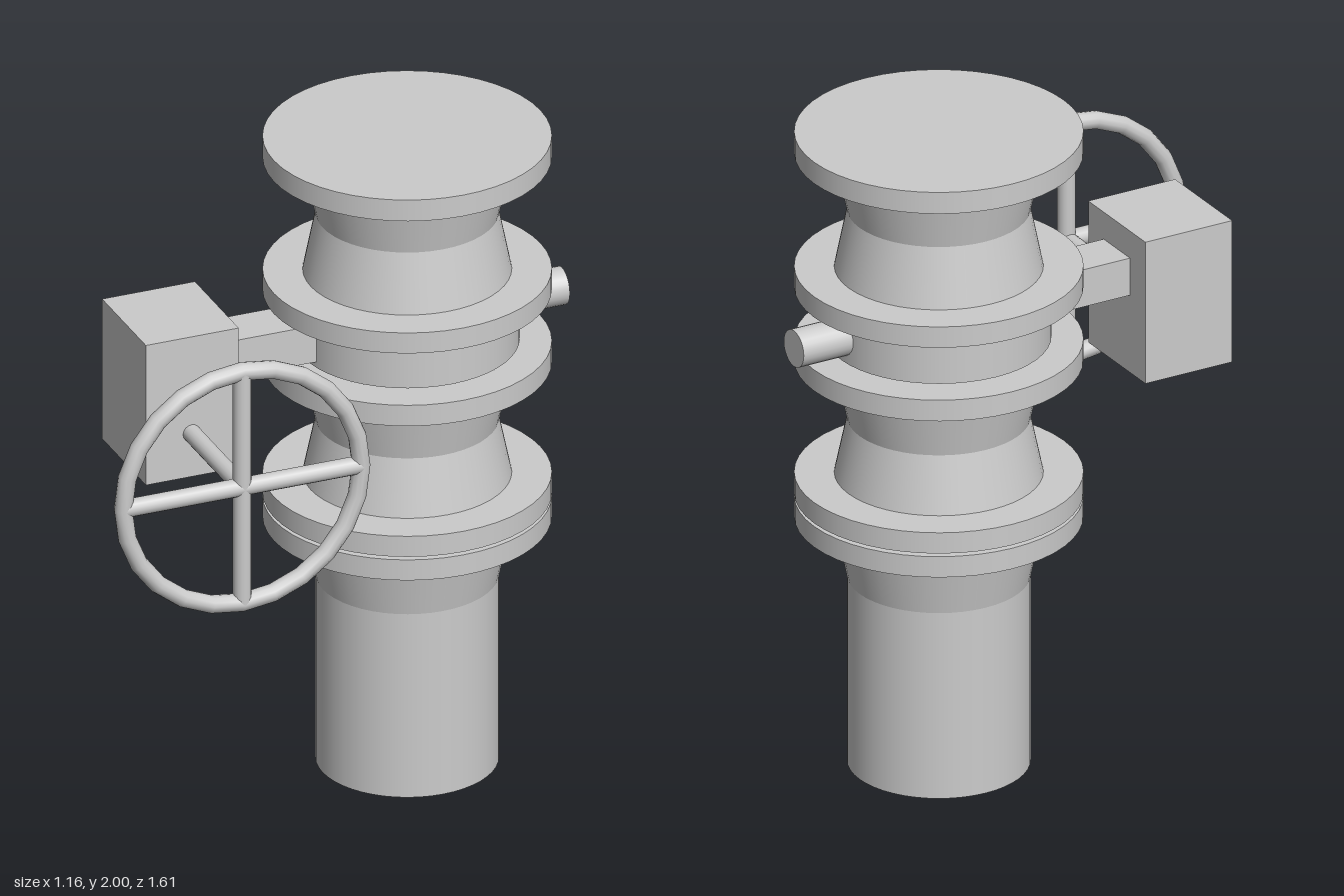
import * as THREE from 'three';

const material = new THREE.MeshStandardMaterial({ color: 0xcccccc });

function add(parent, name, geometry, x = 0, y = 0, z = 0) {
  const mesh = new THREE.Mesh(geometry, material);
  mesh.name = name;
  mesh.position.set(x, y, z);
  parent.add(mesh);
  return mesh;
}

// Upright round section between two heights
function section(parent, name, y0, y1, r0, r1 = r0) {
  add(parent, name, new THREE.CylinderGeometry(r1, r0, y1 - y0, 48), 0, (y0 + y1) / 2, 0);
}

export function createModel() {
  const model = new THREE.Group();
  model.name = 'pipeValve';

  // Pipe column: local +z points to the gearbox, local +x to the handwheel
  const valve = new THREE.Group();
  valve.name = 'valve';
  valve.position.set(0.16, 0, -0.387);
  valve.rotation.y = -Math.PI / 4;
  model.add(valve);

  const pipeR = 0.265, neckR = 0.302, flangeR = 0.417;
  section(valve, 'lowerPipe', 0, 0.59, pipeR);

  // Tapered necks, each widening towards its flange
  section(valve, 'lowerNeck', 0.59, 0.775, pipeR, neckR);
  section(valve, 'middleNeckBottom', 0.915, 1.092, neckR, pipeR);
  section(valve, 'middleNeckTop', 1.092, 1.27, pipeR, neckR);
  section(valve, 'upperNeckBottom', 1.57, 1.755, neckR, pipeR);
  section(valve, 'upperNeckTop', 1.755, 1.932, pipeR, neckR);

  // Flanges
  const flanges = [[0.775, 0.841], [0.851, 0.917], [1.272, 1.339], [1.506, 1.572], [1.932, 2]];
  flanges.forEach(([y0, y1], i) => section(valve, 'flange' + (i + 1), y0, y1, flangeR));

  // Gaskets and valve body between the flanges
  section(valve, 'lowerGasket', 0.84, 0.852, neckR);
  section(valve, 'valveSeat', 1.338, 1.507, 0.295);
  section(valve, 'valveBody', 1.348, 1.497, 0.325);

  // Stem stub at the back, arm and gearbox at the front
  const stub = add(valve, 'stemStub', new THREE.CylinderGeometry(0.057, 0.057, 0.285, 24), 0, 1.423, -0.342);
  stub.rotation.x = Math.PI / 2;
  add(valve, 'arm', new THREE.BoxGeometry(0.15, 0.118, 0.34), 0, 1.425, 0.45);
  add(valve, 'gearbox', new THREE.BoxGeometry(0.325, 0.45, 0.29), 0, 1.345, 0.74);

  // Handwheel with shaft and crossed spokes
  const wheel = new THREE.Group();
  wheel.name = 'handwheel';
  wheel.position.set(0.537, 1.26, 0.742);
  valve.add(wheel);
  const rimR = 0.372, barR = 0.027;
  add(wheel, 'rim', new THREE.TorusGeometry(rimR, barR, 12, 24)).rotation.y = Math.PI / 2;
  const spoke = new THREE.CylinderGeometry(barR, barR, rimR * 2, 16);
  add(wheel, 'verticalSpoke', spoke);
  add(wheel, 'horizontalSpoke', spoke).rotation.x = Math.PI / 2;
  const shaft = add(wheel, 'shaft', new THREE.CylinderGeometry(barR, barR, 0.4, 16), -0.2, 0, 0);
  shaft.rotation.z = Math.PI / 2;

  return model;
}
